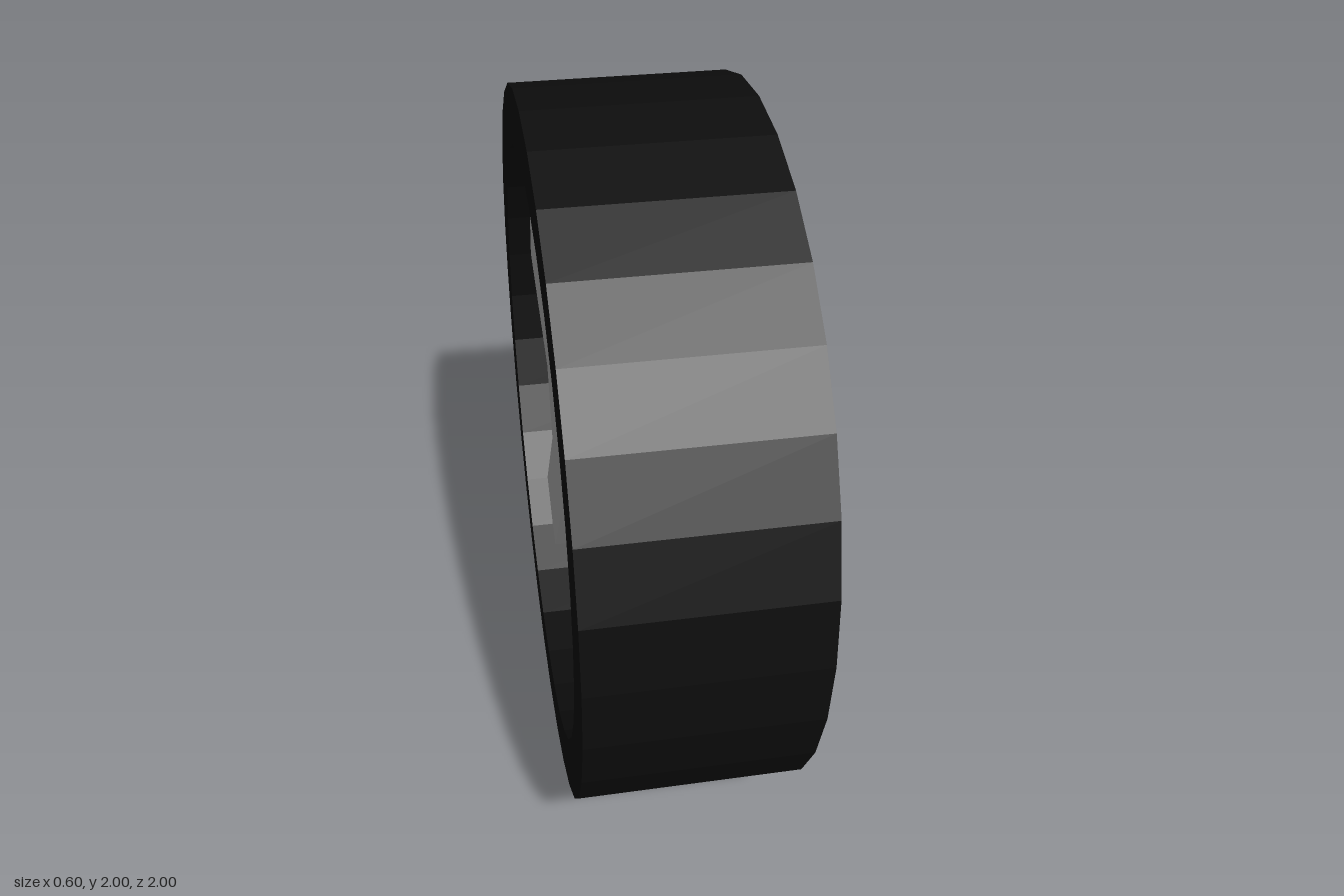
import * as THREE from 'three';

const SIDES = 32;
const RIM = 0.84;      // inner radius of the tyre
const HALF = 0.3;      // half width of the tyre
const SPOKE_HALF = 0.23;

const flat = (geometry) => {
  const g = geometry.index ? geometry.toNonIndexed() : geometry;
  g.computeVertexNormals();
  return g;
};

export function createModel() {
  const black = new THREE.MeshStandardMaterial({ color: 0x0d0d0d });
  black.name = 'tyre black';
  const grey = new THREE.MeshStandardMaterial({ color: 0xb0b0b0 });
  grey.name = 'alloy grey';

  const wheel = new THREE.Group();
  wheel.name = 'wheel';
  wheel.position.y = 1;
  const add = (name, geometry, material) => {
    const mesh = new THREE.Mesh(geometry, material);
    mesh.name = name;
    wheel.add(mesh);
  };

  // Tyre: square-section ring turned about the x axis
  const section = [[RIM, -HALF], [1, -HALF], [1, HALF], [RIM, HALF], [RIM, -HALF]]
    .map(([r, x]) => new THREE.Vector2(r, x));
  add('tyre', flat(new THREE.LatheGeometry(section, SIDES).rotateZ(-Math.PI / 2)), black);

  // Dark plate closing the middle of the wheel
  add('centrePlate', flat(new THREE.CylinderGeometry(RIM + 0.01, RIM + 0.01, 0.1, SIDES).rotateZ(-Math.PI / 2)), black);

  // Hub with five slightly uneven spokes, running through the plate to both sides;
  // each row is a spoke's two outer corners, then the hub notch after it
  const spokes = [
    [-0.145, 0.83], [0.093, 0.83], [0.1, 0.377], [0.3, 0.238],
    [0.743, 0.393], [0.824, 0.168], [0.374, 0.013], [0.31, -0.217],
    [0.594, -0.596], [0.401, -0.73], [0.118, -0.358], [-0.123, -0.366],
    [-0.385, -0.741], [-0.583, -0.607], [-0.316, -0.227], [-0.396, -0.003],
    [-0.834, 0.131], [-0.765, 0.356], [-0.326, 0.227], [-0.136, 0.366],
  ];
  // Outer corners are pushed a little into the tyre
  const outline = spokes.map(([x, y]) => {
    const k = Math.hypot(x, y) > 0.6 ? 0.865 / Math.hypot(x, y) : 1;
    return new THREE.Vector2(x * k, y * k);
  });
  const hub = new THREE.ExtrudeGeometry(new THREE.Shape(outline), {
    depth: SPOKE_HALF * 2, bevelEnabled: false,
  });
  hub.translate(0, 0, -SPOKE_HALF).rotateY(Math.PI / 2);
  add('hubAndSpokes', flat(hub), grey);

  const model = new THREE.Group();
  model.name = 'model';
  model.add(wheel);
  return model;
}
